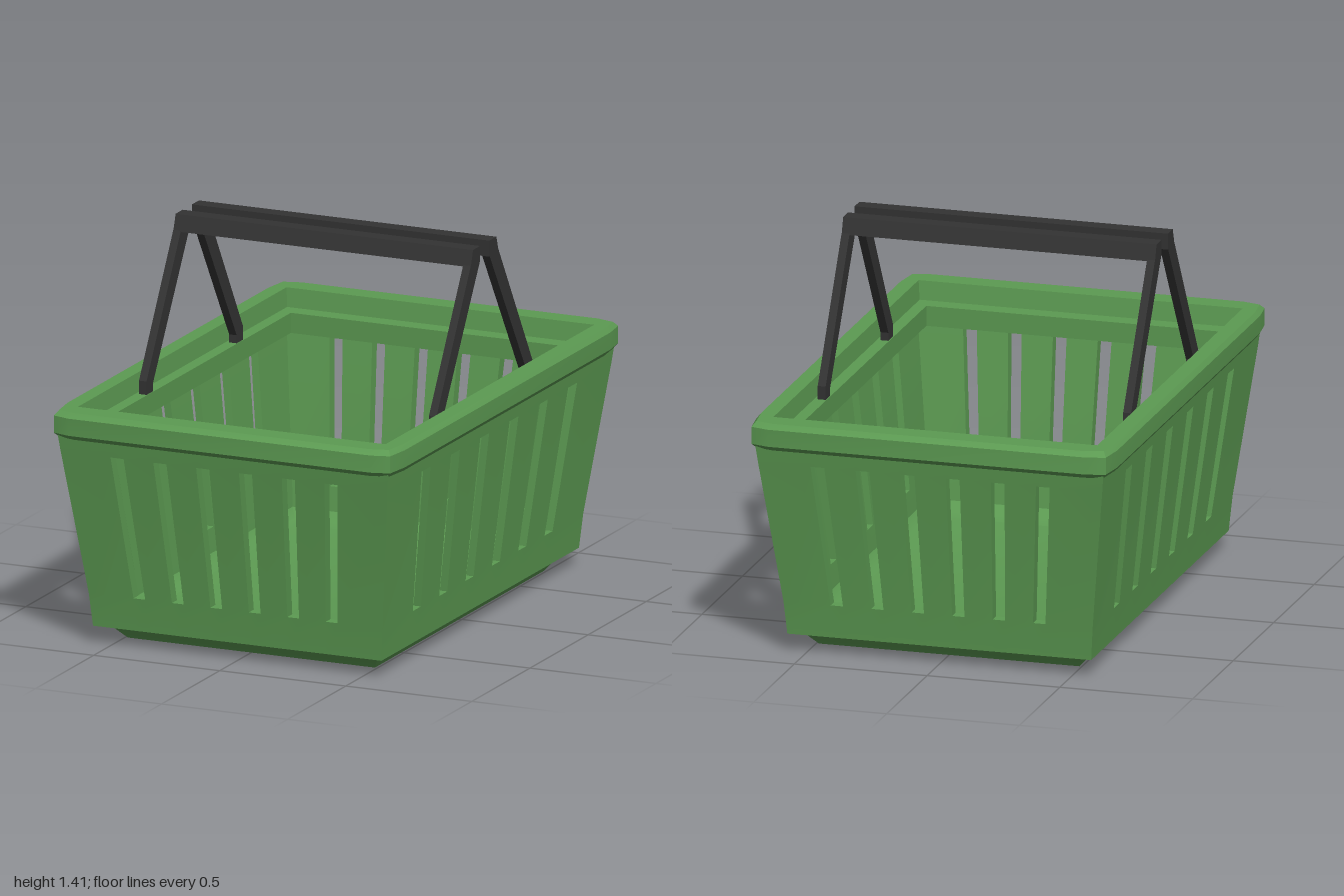
import * as THREE from 'three';
import { toCreasedNormals } from 'three/addons/utils/BufferGeometryUtils.js';

// Collects quads (counter-clockwise corners) into one geometry
class Quads {
  constructor() { this.pos = []; }
  add(a, b, c, d) { for (const p of [a, b, c, a, c, d]) this.pos.push(...p); }
  build(zScale, crease) {
    const g = new THREE.BufferGeometry();
    g.setAttribute('position', new THREE.Float32BufferAttribute(this.pos, 3));
    g.scale(1, 1, zScale);
    g.computeVertexNormals();
    return toCreasedNormals(g, crease);
  }
}

// Tapered tub with slotted walls, built square and stretched in z
function tubGeometry() {
  const q = new Quads();
  // rows of [half width, height]; slots lie between rows SLOT and SLOT + 1
  const outer = [[0.49, 0], [0.53, 0.055], [0.572, 0.065], [0.582, 0.19], [0.648, 0.735], [0.655, 0.8]];
  const inner = [[0.49, 0.06], [0.52, 0.07], [0.545, 0.1], [0.553, 0.19], [0.62, 0.735], [0.628, 0.8]];
  const SLOT = 3;
  const us = [-1];
  for (let i = 0; i < 6; i++) {
    const c = (i - 2.5) * 0.262;
    us.push(c - 0.04, c + 0.04);
  }
  us.push(1);

  for (let side = 0; side < 4; side++) {
    const turn = (x, y, z) => {
      for (let k = 0; k < side; k++) [x, z] = [z, -x];
      return [x, y, z];
    };
    const o = (u, r) => turn(u * outer[r][0], outer[r][1], outer[r][0]);
    // slot edges run straight through the wall
    const n = (u, r) => turn(u * (Math.abs(u) === 1 ? inner : outer)[r][0], inner[r][1], inner[r][0]);
    for (let r = 0; r < outer.length - 1; r++) {
      for (let i = 0; i < us.length - 1; i++) {
        const a = us[i], b = us[i + 1], t = r + 1;
        if (r === SLOT && i % 2 === 1) {
          q.add(o(a, r), n(a, r), n(a, t), o(a, t));
          q.add(o(b, t), n(b, t), n(b, r), o(b, r));
          q.add(o(a, r), o(b, r), n(b, r), n(a, r));
          q.add(n(a, t), n(b, t), o(b, t), o(a, t));
        } else {
          q.add(o(a, r), o(b, r), o(b, t), o(a, t));
          q.add(n(a, t), n(b, t), n(b, r), n(a, r));
        }
      }
    }
  }
  // underside and inside floor
  const w = outer[0][0], f = inner[0][0], y = inner[0][1];
  q.add([-w, 0, -w], [w, 0, -w], [w, 0, w], [-w, 0, w]);
  q.add([-f, y, f], [f, y, f], [f, y, -f], [-f, y, -f]);
  return q.build(1.485, 0.6);
}

// Rim with an inner ledge: a closed section carried round a square with eased corners
function rimGeometry() {
  const q = new Quads();
  // [half width, height, corner easing]
  const section = [
    [0.62, 0.745, 0], [0.64, 0.79, 0], [0.667, 0.79, 0.013], [0.68, 0.808, 0.013],
    [0.68, 0.872, 0.013], [0.667, 0.89, 0.013], [0.61, 0.89, 0], [0.603, 0.82, 0],
    [0.557, 0.82, 0], [0.557, 0.745, 0],
  ];
  const ring = ([r, y, c]) => {
    const pts = [];
    for (let k = 0; k < 4; k++) {
      for (let [x, z] of [[r - 0.08, r], [r - c, r - c], [r, r - 0.08]]) {
        for (let j = 0; j < k; j++) [x, z] = [z, -x];
        pts.push([x, y, z]);
      }
    }
    return pts;
  };
  section.forEach((s, i) => {
    const a = ring(s), b = ring(section[(i + 1) % section.length]);
    for (let k = 0; k < 12; k++) {
      const m = (k + 1) % 12;
      q.add(a[k], a[m], b[m], b[k]);
    }
  });
  return q.build(1.4706, 0.3);
}

// Extrudes a (z, y) outline along x, from xMax towards -x
function sideExtrude(points, depth, xMax) {
  const shape = new THREE.Shape(points.map(([z, y]) => new THREE.Vector2(z, y)));
  const g = new THREE.ExtrudeGeometry(shape, { depth, bevelEnabled: false });
  return g.rotateY(-Math.PI / 2).translate(xMax, 0, 0);
}

export function createModel() {
  const green = new THREE.MeshStandardMaterial({ color: 0x5c9a52 });
  green.name = 'green plastic';
  const charcoal = new THREE.MeshStandardMaterial({ color: 0x333333 });
  charcoal.name = 'charcoal plastic';

  const model = new THREE.Group();
  model.name = 'basket';
  const add = (parent, name, geometry, material) => {
    const mesh = new THREE.Mesh(geometry, material);
    mesh.name = name;
    parent.add(mesh);
  };

  add(model, 'tub', tubGeometry(), green);
  add(model, 'rim', rimGeometry(), green);

  // Two carrying handles leaning towards each other
  const grip = [[0.04, 1.415], [0.04, 1.355], [0.12, 1.355], [0.1, 1.415]];
  const leg = [[0.04, 1.36], [0.36, 0.85], [0.36, 0.8], [0.415, 0.8], [0.415, 0.87], [0.12, 1.36]];
  for (const [name, turn] of [['frontHandle', 0], ['backHandle', Math.PI]]) {
    const handle = new THREE.Group();
    handle.name = name;
    add(handle, 'grip', sideExtrude(grip, 1.18, 0.59), charcoal);
    add(handle, 'leftLeg', sideExtrude(leg, 0.03, 0.59), charcoal);
    add(handle, 'rightLeg', sideExtrude(leg, 0.03, -0.56), charcoal);
    handle.rotation.y = turn;
    model.add(handle);
  }
  return model;
}
